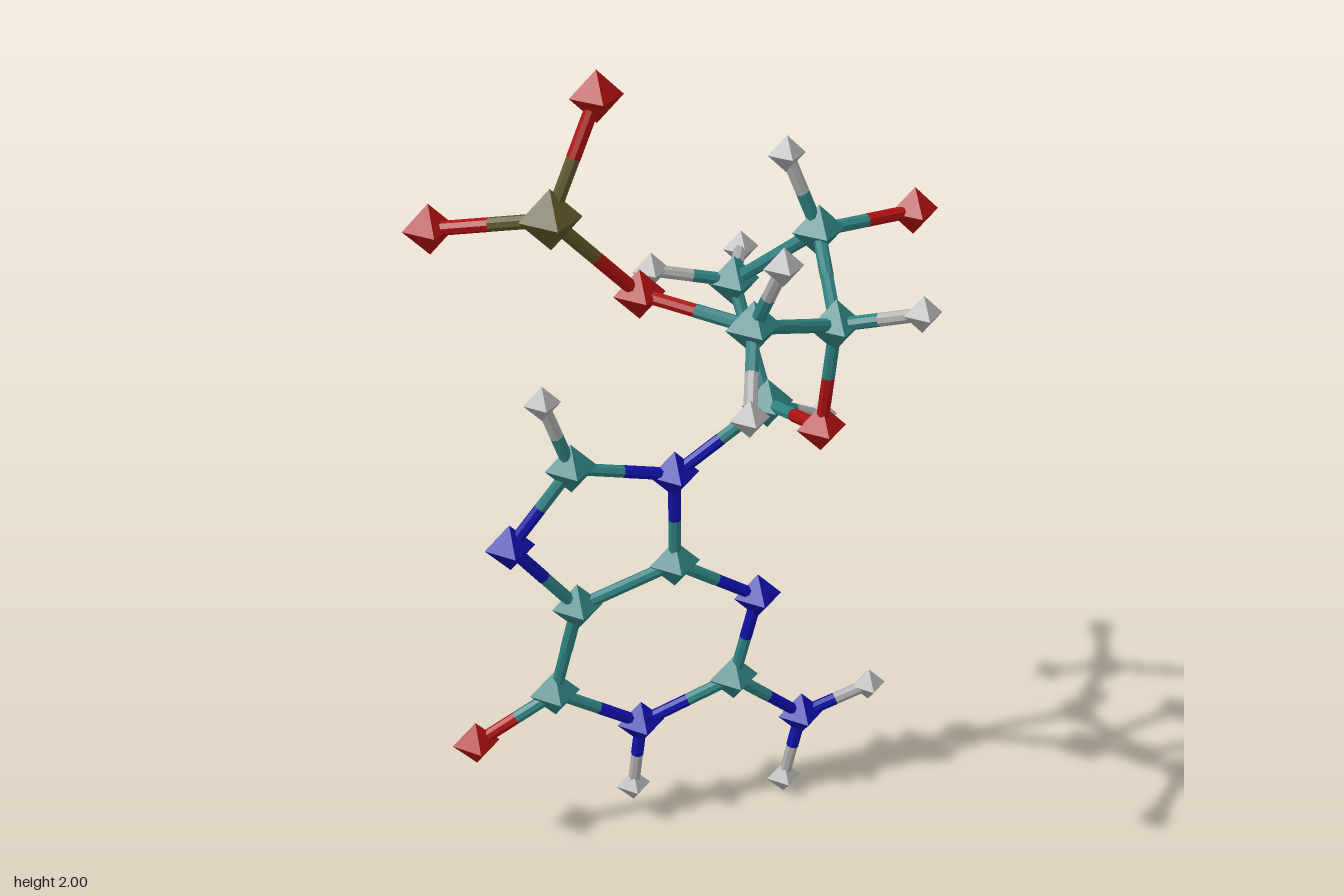
import * as THREE from 'three';

// element: [name, colour, radius]
const ELEMENTS = {
  C: ['carbon', 0x2f8080, 0.058],
  N: ['nitrogen', 0x1010a8, 0.056],
  O: ['oxygen', 0xac1010, 0.054],
  P: ['phosphorus', 0x5c5528, 0.064],
  H: ['hydrogen', 0xacacac, 0.041],
};
const BOND_RADIUS = 0.0145;

// label: [element, x, y, z]
const ATOMS = {
  // phosphate
  P: ['P', -0.327, 1.72, 0.16],
  OP1: ['O', -0.223, 1.948, 0.125],
  OP2: ['O', -0.541, 1.67, 0.027],
  O5s: ['O', -0.141, 1.522, 0.12],
  // sugar
  C5s: ['C', 0.048, 1.497, 0.28],
  H5a: ['H', 0.08, 1.66, 0.367],
  H5b: ['H', 0.002, 1.368, 0.413],
  C4s: ['C', 0.262, 1.417, 0.153],
  H4s: ['H', 0.41, 1.47, 0.258],
  O4s: ['O', 0.248, 1.168, 0.12],
  C1s: ['C', 0.203, 1.117, -0.112],
  H1s: ['H', 0.347, 1.03, -0.186],
  C2s: ['C', 0.162, 1.357, -0.24],
  H2a: ['H', 0.23, 1.353, -0.414],
  H2b: ['H', -0.02, 1.4, -0.248],
  C3s: ['C', 0.301, 1.522, -0.087],
  H3s: ['H', 0.231, 1.697, -0.096],
  O3s: ['O', 0.537, 1.513, -0.152],
  // double ring base
  N9: ['N', -0.003, 0.966, -0.124],
  C8: ['C', -0.236, 1.02, -0.112],
  H8: ['H', -0.3, 1.195, -0.09],
  N7: ['N', -0.373, 0.838, -0.125],
  C5: ['C', -0.221, 0.65, -0.148],
  C4: ['C', 0.003, 0.728, -0.146],
  N3: ['N', 0.203, 0.6, -0.165],
  C2: ['C', 0.156, 0.373, -0.19],
  N1: ['N', -0.065, 0.283, -0.198],
  H1: ['H', -0.082, 0.103, -0.21],
  C6: ['C', -0.27, 0.41, -0.181],
  O6: ['O', -0.457, 0.31, -0.178],
  N2: ['N', 0.331, 0.224, -0.217],
  H2c: ['H', 0.497, 0.278, -0.216],
  H2d: ['H', 0.294, 0.044, -0.227],
};

// each string is a chain of bonded atoms
const CHAINS = [
  'OP1 P OP2', 'P O5s C5s C4s O4s C1s C2s C3s C4s',
  'H5a C5s H5b', 'C4s H4s', 'C1s H1s', 'H2a C2s H2b', 'H3s C3s O3s',
  'C1s N9 C8 N7 C5 C4 N9', 'C8 H8', 'C4 N3 C2 N1 C6 C5',
  'N1 H1', 'C6 O6', 'C2 N2 H2c', 'N2 H2d',
];

export function createModel() {
  const model = new THREE.Group();
  model.name = 'molecule';
  const atoms = new THREE.Group();
  atoms.name = 'atoms';
  const bonds = new THREE.Group();
  bonds.name = 'bonds';
  model.add(atoms, bonds);

  const materials = {}, ballGeometry = {};
  for (const [key, [, color, radius]] of Object.entries(ELEMENTS)) {
    materials[key] = new THREE.MeshStandardMaterial({ color, flatShading: true });
    ballGeometry[key] = new THREE.OctahedronGeometry(radius, 0);
  }

  // eight-sided atoms
  const position = {};
  for (const [label, [element, x, y, z]] of Object.entries(ATOMS)) {
    const ball = new THREE.Mesh(ballGeometry[element], materials[element]);
    ball.name = ELEMENTS[element][0] + 'Atom';
    ball.position.set(x, y, z);
    position[label] = ball.position;
    atoms.add(ball);
  }

  // half a bond, from an atom to the midpoint, in that atom's colour
  const rod = new THREE.CylinderGeometry(BOND_RADIUS, BOND_RADIUS, 1, 8);
  rod.translate(0, 0.5, 0);
  const up = new THREE.Vector3(0, 1, 0);
  function addHalfBond(from, to) {
    const element = ATOMS[from][0];
    const span = position[to].clone().sub(position[from]);
    const half = new THREE.Mesh(rod, materials[element]);
    half.name = ELEMENTS[element][0] + 'HalfBond';
    half.position.copy(position[from]);
    half.scale.y = span.length() / 2;
    half.quaternion.setFromUnitVectors(up, span.normalize());
    bonds.add(half);
  }
  for (const chain of CHAINS) {
    const labels = chain.split(' ');
    for (let i = 1; i < labels.length; i++) {
      addHalfBond(labels[i - 1], labels[i]);
      addHalfBond(labels[i], labels[i - 1]);
    }
  }
  return model;
}
